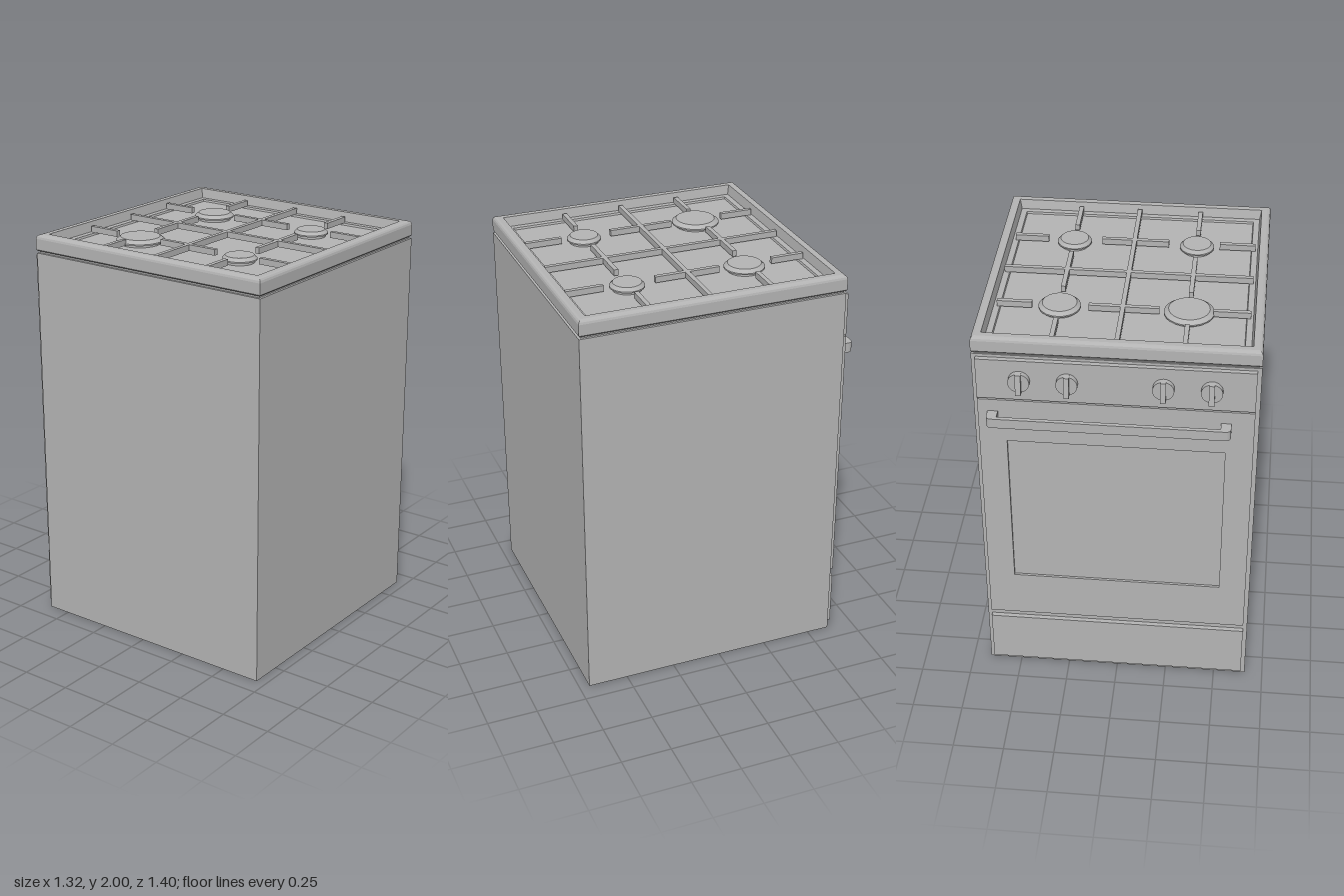
import * as THREE from 'three';

const BACK = -0.615;   // rear wall of the cabinet that carries door and controls
const FACE = -0.638;   // outer surface of door, drawer and control panel

// Skin over rectangular rings, each given as [inset from the hob outline, height]
function ringSkin(profile, halfX, zFront, zBack) {
  const rings = profile.map(([i, y]) => [
    [-halfX + i, y, zFront - i], [halfX - i, y, zFront - i],
    [halfX - i, y, zBack + i], [-halfX + i, y, zBack + i],
  ]);
  const pos = [];
  const quad = (a, b, c, d) => pos.push(...a, ...b, ...c, ...a, ...c, ...d);
  for (let r = 0; r < rings.length - 1; r++) {
    for (let k = 0; k < 4; k++) {
      const n = (k + 1) % 4;
      quad(rings[r][k], rings[r][n], rings[r + 1][n], rings[r + 1][k]);
    }
  }
  quad(...rings[rings.length - 1]);
  const geo = new THREE.BufferGeometry();
  geo.setAttribute('position', new THREE.Float32BufferAttribute(pos, 3));
  geo.computeVertexNormals();
  return geo;
}

function rectPath(path, x0, y0, x1, y1) {
  path.moveTo(x0, y0);
  path.lineTo(x1, y0);
  path.lineTo(x1, y1);
  path.lineTo(x0, y1);
  path.closePath();
  return path;
}

export function createModel() {
  const model = new THREE.Group();
  model.name = 'cooker';
  const grey = new THREE.MeshStandardMaterial({ color: 0xb4b4b4 });
  grey.name = 'grey enamel';

  const add = (name, geo, parent = model) => {
    const mesh = new THREE.Mesh(geo, grey);
    mesh.name = name;
    parent.add(mesh);
    return mesh;
  };
  // Box from its limits
  const box = (name, x0, x1, y0, y1, z0, z1, parent) => {
    const mesh = add(name, new THREE.BoxGeometry(x1 - x0, y1 - y0, z1 - z0), parent);
    mesh.position.set((x0 + x1) / 2, (y0 + y1) / 2, (z0 + z1) / 2);
    return mesh;
  };

  // Cabinet, drawer and control panel
  box('cabinet', -0.66, 0.66, 0, 1.91, BACK, 0.70);
  box('drawer', -0.64, 0.64, 0.03, 0.31, FACE, BACK);
  box('controlPanel', -0.64, 0.64, 1.682, 1.895, FACE, BACK);

  // Oven door with a recessed window
  const doorShape = rectPath(new THREE.Shape(), -0.64, 0.35, 0.64, 1.674);
  doorShape.holes.push(rectPath(new THREE.Path(), -0.51, 0.6, 0.51, 1.44));
  const door = add('ovenDoor', new THREE.ExtrudeGeometry(doorShape, { depth: BACK - FACE, bevelEnabled: false }));
  door.position.z = FACE;
  box('ovenWindow', -0.51, 0.51, 0.6, 1.44, FACE + 0.012, BACK);

  // Door handle, drawn in plan and extruded upwards
  const x0 = -0.534, x1 = 0.594, d0 = -FACE, d1 = 0.704, r = 0.026;
  const handleShape = new THREE.Shape();
  handleShape.moveTo(x0, d0);
  handleShape.lineTo(x0, d1 - r);
  handleShape.quadraticCurveTo(x0, d1, x0 + r, d1);
  handleShape.lineTo(x1 - r, d1);
  handleShape.quadraticCurveTo(x1, d1, x1, d1 - r);
  handleShape.lineTo(x1, d0);
  handleShape.lineTo(x1 - 0.048, d0);
  handleShape.lineTo(x1 - 0.048, d1 - 0.02);
  handleShape.lineTo(x0 + 0.048, d1 - 0.02);
  handleShape.lineTo(x0 + 0.048, d0);
  handleShape.closePath();
  const handleGeo = new THREE.ExtrudeGeometry(handleShape, { depth: 0.05, bevelEnabled: false, curveSegments: 6 });
  handleGeo.rotateX(-Math.PI / 2);
  add('doorHandle', handleGeo).position.y = 1.56;

  // Control knobs: a disc with a slanted grip
  const gripShape = new THREE.Shape();
  gripShape.moveTo(0.64, -0.05);
  gripShape.lineTo(0.687, -0.053);
  gripShape.lineTo(0.676, 0.05);
  gripShape.lineTo(0.64, 0.05);
  gripShape.closePath();
  const gripGeo = new THREE.ExtrudeGeometry(gripShape, { depth: 0.026, bevelEnabled: false });
  gripGeo.translate(0, 0, -0.013);
  gripGeo.rotateY(Math.PI / 2);
  const discGeo = new THREE.CylinderGeometry(0.05, 0.05, 0.026, 24);
  discGeo.rotateX(Math.PI / 2);
  for (const x of [-0.44, -0.22, 0.22, 0.44]) {
    const knob = new THREE.Group();
    knob.name = 'controlKnob';
    knob.position.set(x, 1.79, 0);
    add('knobDisc', discGeo, knob).position.z = -0.651;
    add('knobGrip', gripGeo, knob);
    model.add(knob);
  }

  // Hob: shadow gap, rounded rim, sunken tray with a ledge
  add('hob', ringSkin([
    [0.012, 1.905], [0.012, 1.92], [0.005, 1.92], [0, 1.926], [0, 1.98], [0.003, 1.99], [0.009, 1.997],
    [0.018, 2.0], [0.045, 2.0], [0.054, 1.952], [0.083, 1.952], [0.086, 1.942],
  ], 0.66, 0.70, -0.62));

  // Burners: a base and a tapered cap
  for (const [x, z, rOuter] of [
    [-0.308, -0.257, 0.118], [0.297, -0.257, 0.099], [-0.308, 0.337, 0.084], [0.297, 0.337, 0.084],
  ]) {
    const profile = [
      [rOuter * 0.85, 1.94], [rOuter * 0.85, 1.953], [rOuter, 1.955], [rOuter, 1.962], [rOuter * 0.82, 1.978], [0, 1.978],
    ].map(([a, b]) => new THREE.Vector2(a, b));
    // Separate bands keep the edges sharp
    const burner = new THREE.Group();
    burner.name = 'burner';
    burner.position.set(x, 0, z);
    for (let i = 0; i < profile.length - 1; i++) {
      add('burnerBand', new THREE.LatheGeometry([profile[i], profile[i + 1]], 24), burner);
    }
    model.add(burner);
  }

  // Pan supports: two full bars and short arms pointing at the burners
  const grate = new THREE.Group();
  grate.name = 'panSupports';
  model.add(grate);
  const w = 0.011, yLow = 1.952, yHigh = 1.982;
  const barX = (a, b, z) => box('supportBar', a, b, yLow, yHigh, z - w, z + w, grate);
  const barZ = (a, b, x) => box('supportBar', x - w, x + w, yLow, yHigh, a, b, grate);
  barX(-0.595, 0.6, 0.038);
  barZ(-0.56, 0.64, 0);
  for (const z of [-0.267, 0.34]) {
    barX(-0.595, -0.42, z);
    barX(-0.17, 0.16, z);
    barX(0.425, 0.59, z);
  }
  for (const x of [-0.308, 0.297]) {
    barZ(-0.56, -0.395, x);
    barZ(-0.125, 0.2, x);
    barZ(0.455, 0.64, x);
  }
  return model;
}
